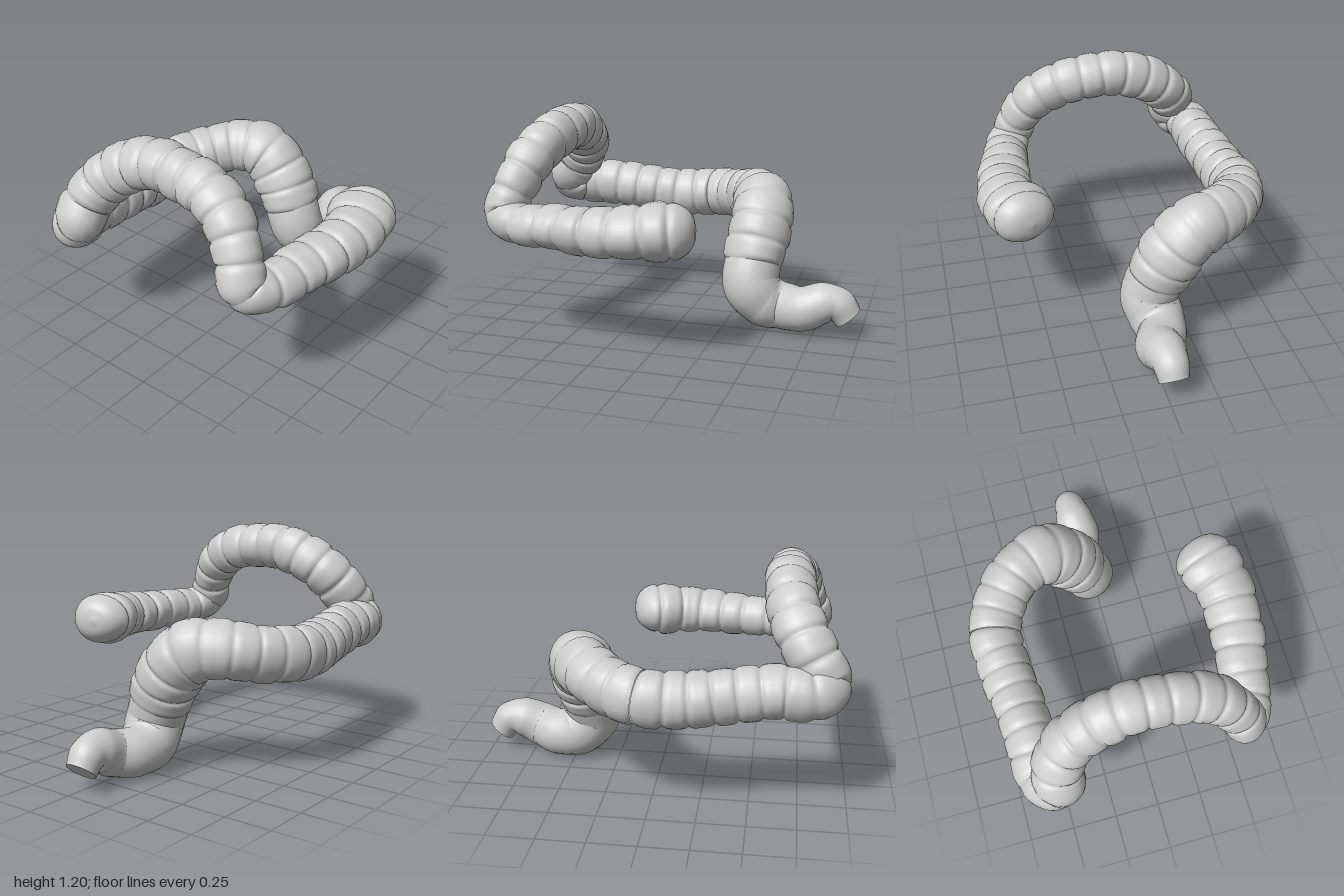
import * as THREE from 'three';

// Centre line with radius: x, y, z, r
const PATH = [
  // ascending part, starting at the blunt pouch
  [0.535, 0.685, -0.25, 0.17], [0.58, 0.68, -0.1, 0.182], [0.625, 0.67, 0.08, 0.16],
  [0.615, 0.66, 0.3, 0.15], [0.58, 0.66, 0.5, 0.138], [0.555, 0.655, 0.67, 0.128],
  // arch
  [0.5, 0.69, 0.795, 0.118], [0.45, 0.82, 0.765, 0.118], [0.34, 0.965, 0.71, 0.128],
  [0.19, 1.045, 0.675, 0.13], [0.03, 1.07, 0.665, 0.13], [-0.13, 1.075, 0.665, 0.132],
  [-0.29, 1.02, 0.68, 0.135], [-0.43, 0.92, 0.725, 0.137], [-0.505, 0.8, 0.8, 0.135],
  // descending part
  [-0.515, 0.7, 0.86, 0.132], [-0.59, 0.66, 0.8, 0.132], [-0.595, 0.665, 0.64, 0.136],
  [-0.615, 0.64, 0.4, 0.138], [-0.64, 0.615, 0.18, 0.144], [-0.65, 0.625, -0.04, 0.144],
  // S-shaped bend
  [-0.565, 0.645, -0.22, 0.146], [-0.43, 0.67, -0.35, 0.152], [-0.28, 0.645, -0.41, 0.17],
  [-0.155, 0.51, -0.415, 0.176], [-0.085, 0.365, -0.4, 0.168],
  // smooth end
  [-0.045, 0.25, -0.4, 0.162], [-0.065, 0.16, -0.475, 0.152], [-0.07, 0.132, -0.58, 0.13],
  [-0.015, 0.145, -0.7, 0.122], [-0.02, 0.185, -0.8, 0.112], [-0.025, 0.185, -0.88, 0.094],
  [-0.03, 0.115, -0.94, 0.08],
];

// name, first and last path point, number of pouches, groove depth
const SECTIONS = [
  ['ascendingSection', 0, 6, 8, 0.12],
  ['transverseArch', 6, 15, 12, 0.12],
  ['descendingSection', 15, 20, 8, 0.11],
  ['sigmoidBend', 20, 25, 8, 0.07],
  ['smoothEnd', 25, 32, 0.5, 0.07],
];

const RINGS = 640, SIDES = 24, LAST = PATH.length - 1;

const curve = new THREE.CatmullRomCurve3(
  PATH.map(p => new THREE.Vector3(p[0], p[1], p[2])), false, 'centripetal');
curve.arcLengthDivisions = LAST * 40;

function radiusAt(t) {
  const f = t * LAST, i = Math.min(Math.floor(f), LAST - 1);
  return THREE.MathUtils.lerp(PATH[i][3], PATH[i + 1][3], THREE.MathUtils.smoothstep(f - i, 0, 1));
}

// Tube between two rings, pinched into pouches, with optional flat end cap
function pouchedTube(frames, from, to, pouches, depth, capped) {
  const positions = [], index = [], row = SIDES + 1;
  const v = new THREE.Vector3();
  for (let i = from; i <= to; i++) {
    const u = i / RINGS, centre = curve.getPointAt(u);
    const phase = pouches * (i - from) / (to - from);
    const groove = Math.pow(1 - Math.abs(Math.sin(Math.PI * phase)), 2.6);
    // blunt rounded start of the whole tube
    const s = Math.min(i / 24, 1);
    const round = Math.pow(1 - Math.pow(1 - s, 2.6), 1 / 2.6);
    const base = radiusAt(curve.getUtoTmapping(u)) * round;
    // the ascending part is flattened in height
    const flat = THREE.MathUtils.lerp(0.83, 1, THREE.MathUtils.smoothstep(u, 0.17, 0.26));
    for (let j = 0; j <= SIDES; j++) {
      const a = (j % SIDES) / SIDES * Math.PI * 2;
      // soft unevenness that differs from pouch to pouch
      const bump = 0.028 * Math.sin(3 * a + Math.floor(phase) * 1.9) * (1 - groove);
      const r = base * (1 - depth * groove + (pouches > 1 ? bump : 0));
      v.set(0, 0, 0)
        .addScaledVector(frames.normals[i], Math.cos(a) * r)
        .addScaledVector(frames.binormals[i], Math.sin(a) * r);
      v.y *= flat;
      v.add(centre);
      positions.push(v.x, v.y, v.z);
      if (i < to && j < SIDES) {
        const p = (i - from) * row + j, q = p + row;
        index.push(p, p + 1, q, p + 1, q + 1, q);
      }
    }
  }
  if (capped) {
    const rim = positions.length / 3 - row, start = rim + row;
    positions.push(...positions.slice(rim * 3));
    positions.push(...curve.getPointAt(to / RINGS).toArray());
    for (let j = 0; j < SIDES; j++) index.push(start + j, start + j + 1, start + row);
  }
  const geometry = new THREE.BufferGeometry();
  geometry.setAttribute('position', new THREE.Float32BufferAttribute(positions, 3));
  geometry.setIndex(index);
  geometry.computeVertexNormals();
  // share normals across the lengthwise seam
  const n = geometry.attributes.normal;
  for (let i = 0; i <= to - from; i++) {
    const p = i * row, q = p + SIDES;
    v.set(n.getX(p) + n.getX(q), n.getY(p) + n.getY(q), n.getZ(p) + n.getZ(q)).normalize();
    n.setXYZ(p, v.x, v.y, v.z);
    n.setXYZ(q, v.x, v.y, v.z);
  }
  return geometry;
}

export function createModel() {
  const group = new THREE.Group();
  group.name = 'largeIntestine';
  const material = new THREE.MeshStandardMaterial({ color: 0xcccccc, side: THREE.DoubleSide });
  const frames = curve.computeFrenetFrames(RINGS, false);
  const lengths = curve.getLengths();
  const ringAt = k => Math.round(lengths[k * 40] / lengths[LAST * 40] * RINGS);
  for (const [name, a, b, pouches, depth] of SECTIONS) {
    const mesh = new THREE.Mesh(
      pouchedTube(frames, ringAt(a), ringAt(b), pouches, depth, b === LAST), material);
    mesh.name = name;
    group.add(mesh);
  }
  return group;
}
